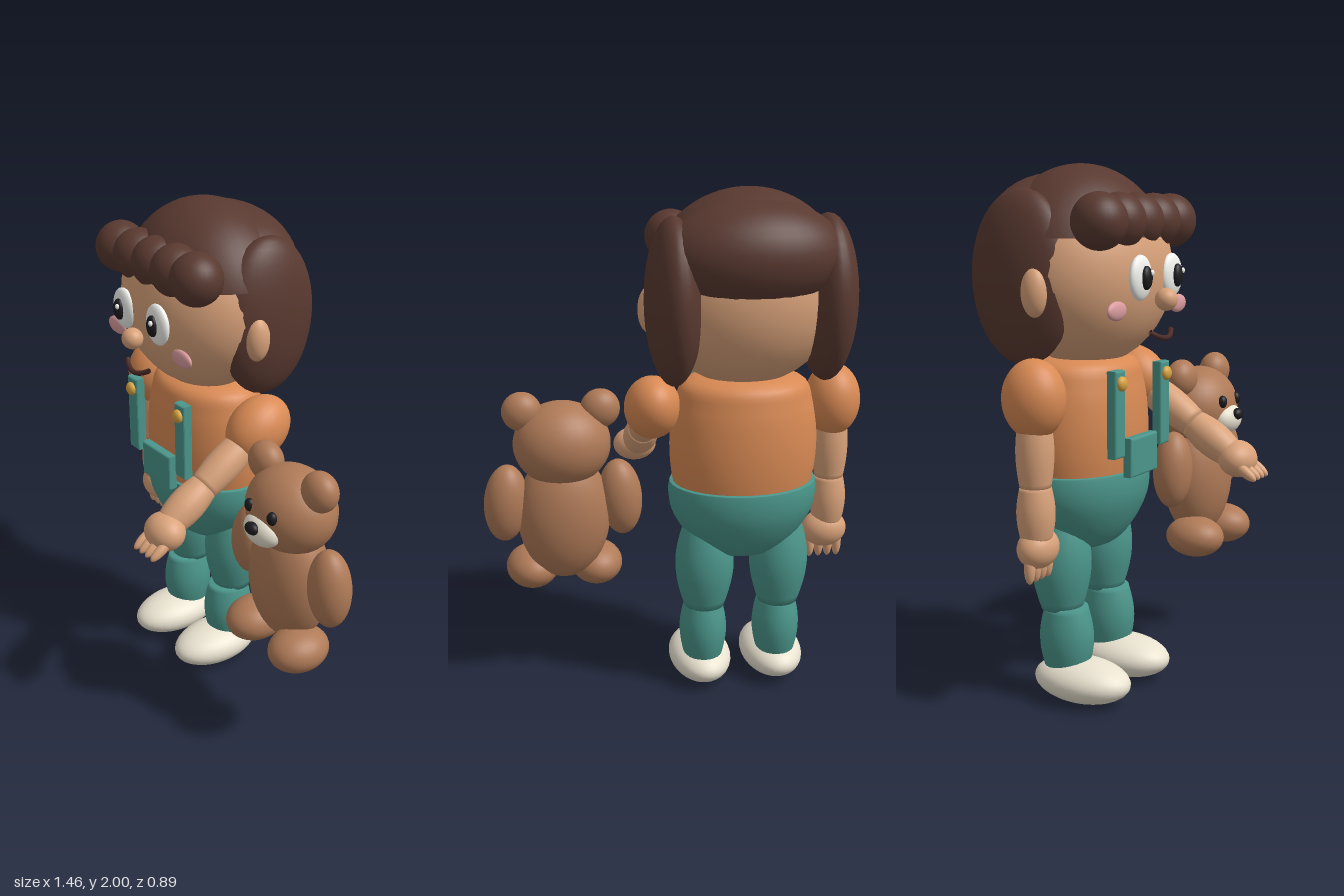
import * as THREE from 'three';

const mat = (color) => new THREE.MeshStandardMaterial({ color, side: THREE.DoubleSide });
const SKIN = mat(0xd9a27a), HAIR = mat(0x593930), SHIRT = mat(0xd98a54), TEAL = mat(0x4b968b),
  CREAM = mat(0xe9e2d0), FUR = mat(0xaf7a57), PINK = mat(0xdb9c9f), BLACK = mat(0x1c1c20),
  WHITE = mat(0xf2f2ee), GOLD = mat(0xd9a440), LIP = mat(0x4a2a26);

function add(parent, name, geometry, material, x = 0, y = 0, z = 0) {
  const m = new THREE.Mesh(geometry, material);
  m.name = name;
  m.position.set(x, y, z);
  parent.add(m);
  return m;
}

// ellipsoid from centre and radii
function ball(parent, name, material, [x, y, z], [rx, ry, rz]) {
  return add(parent, name, new THREE.SphereGeometry(1, 32, 20).scale(rx, ry, rz), material, x, y, z);
}

// smooth turned body from [radius, y] points listed bottom to top
function turned(parent, name, material, pts, x, z, depth = 1) {
  const curve = new THREE.SplineCurve(pts.map((p) => new THREE.Vector2(p[0], p[1])));
  const profile = curve.getPoints(24).map((p) => p.setX(Math.max(p.x, 0)));
  return add(parent, name, new THREE.LatheGeometry(profile, 36).scale(1, 1, depth), material, x, 0, z);
}

// barrel-shaped limb segment with closed ends
function limb(parent, name, material, y0, y1, rEnd, rMid, x, z, depth = 1) {
  const pts = [new THREE.Vector2(0, y0)];
  for (let i = 0; i <= 12; i++) {
    const t = i / 12;
    pts.push(new THREE.Vector2(rEnd + (rMid - rEnd) * Math.sin(Math.PI * t), y0 + (y1 - y0) * t));
  }
  pts.push(new THREE.Vector2(0, y1));
  return add(parent, name, new THREE.LatheGeometry(pts, 28).scale(1, 1, depth), material, x, 0, z);
}

function slab(parent, name, material, w, h, d, x, y, z) {
  const b = 0.008;
  const s = new THREE.Shape();
  s.moveTo(-w / 2 + b, -h / 2 + b);
  s.lineTo(w / 2 - b, -h / 2 + b);
  s.lineTo(w / 2 - b, h / 2 - b);
  s.lineTo(-w / 2 + b, h / 2 - b);
  const g = new THREE.ExtrudeGeometry(s, { depth: d - 2 * b, bevelSize: b, bevelThickness: b, bevelSegments: 3 });
  return add(parent, name, g.center(), material, x, y, z);
}

function buildHead() {
  const g = new THREE.Group();
  g.name = 'head';
  ball(g, 'face', SKIN, [0, 1.61, -0.115], [0.365, 0.345, 0.295]);
  // hair dome, back hair and fringe
  add(g, 'hairDome', new THREE.SphereGeometry(1, 36, 16, 0, Math.PI * 2, 0, Math.PI * 0.4)
    .scale(0.38, 0.38, 0.315), HAIR, 0, 1.62, -0.14);
  ball(g, 'backHair', HAIR, [0, 1.77, -0.24], [0.335, 0.2, 0.215]);
  for (let i = -2; i <= 2; i++) ball(g, 'fringeCurl', HAIR, [i * 0.124, 1.795, 0.09], [0.1, 0.1, 0.1]);
  for (const s of [-1, 1]) {
    ball(g, 'sideHair', HAIR, [s * 0.285, 1.6, -0.205], [0.105, 0.31, 0.21]);
    ball(g, 'ear', SKIN, [s * 0.358, 1.555, -0.105], [0.045, 0.088, 0.05]);
    ball(g, 'eye', WHITE, [s * 0.113, 1.6, 0.172], [0.068, 0.08, 0.026]);
    ball(g, 'pupil', BLACK, [s * 0.113, 1.6, 0.197], [0.028, 0.042, 0.019]);
    ball(g, 'eyeGlint', WHITE, [s * 0.113 + 0.012, 1.617, 0.212], [0.009, 0.011, 0.008]);
    ball(g, 'cheek', PINK, [s * 0.22, 1.49, 0.14], [0.06, 0.034, 0.016]);
  }
  ball(g, 'nose', SKIN, [0, 1.52, 0.213], [0.043, 0.041, 0.041]);
  const smile = new THREE.QuadraticBezierCurve3(
    new THREE.Vector3(-0.075, 1.407, 0.19), new THREE.Vector3(0, 1.357, 0.235), new THREE.Vector3(0.075, 1.407, 0.19));
  add(g, 'mouth', new THREE.TubeGeometry(smile, 20, 0.01, 8), LIP);
  return g;
}

function buildArm(side) {
  // pivot is the shoulder, arm hangs along -y
  const g = new THREE.Group();
  g.name = side > 0 ? 'leftArm' : 'rightArm';
  g.position.set(side * 0.352, 1.183, -0.12);
  ball(g, 'sleeve', SHIRT, [0, 0, 0], [0.107, 0.143, 0.118]);
  limb(g, 'upperArm', SKIN, -0.32, -0.06, 0.056, 0.069, 0, 0);
  limb(g, 'forearm', SKIN, -0.51, -0.31, 0.056, 0.07, 0, 0);
  ball(g, 'hand', SKIN, [0.01, -0.54, 0], [0.09, 0.075, 0.07]);
  for (let i = 0; i < 4; i++) {
    ball(g, 'finger', SKIN, [0.01 + (i - 1.5) * 0.037, -0.605, 0], [0.019, 0.058, 0.021]);
  }
  return g;
}

function buildChild() {
  const g = new THREE.Group();
  g.name = 'child';
  g.position.x = -0.27;
  g.add(buildHead());
  // shirt and trousers
  turned(g, 'shirt', SHIRT, [[0.265, 0.84], [0.283, 0.95], [0.285, 1.07], [0.265, 1.2], [0.215, 1.29], [0, 1.32]], 0, -0.13, 0.75);
  turned(g, 'trousers', TEAL, [[0, 0.56], [0.13, 0.59], [0.215, 0.66], [0.28, 0.77], [0.288, 0.87], [0.25, 0.885], [0, 0.885]], 0, -0.13, 0.76);
  slab(g, 'bibPocket', TEAL, 0.19, 0.145, 0.04, 0, 0.947, 0.105);
  for (const s of [-1, 1]) {
    slab(g, 'strap', TEAL, 0.065, 0.315, 0.042, s * 0.163, 1.118, 0.1);
    ball(g, 'button', GOLD, [s * 0.163, 1.23, 0.125], [0.027, 0.027, 0.018]);
    limb(g, 'thigh', TEAL, 0.36, 0.72, 0.08, 0.116, s * 0.15, -0.15, 0.97);
    limb(g, 'shin', TEAL, 0.12, 0.37, 0.074, 0.094, s * 0.15, -0.13, 1.13);
    ball(g, 'shoe', CREAM, [s * 0.15, 0.088, -0.062], [0.125, 0.083, 0.2]);
    g.add(buildArm(s));
  }
  // left arm reaches forward
  g.getObjectByName('leftArm').rotation.x = -0.99;
  return g;
}

function buildBear() {
  const g = new THREE.Group();
  g.name = 'teddyBear';
  g.position.set(0.42, 0, -0.01);
  ball(g, 'bearBody', FUR, [0, 0.725, 0], [0.183, 0.265, 0.135]);
  ball(g, 'bearHead', FUR, [0, 1.02, 0], [0.19, 0.168, 0.16]);
  ball(g, 'bearMuzzle', CREAM, [0, 0.977, 0.135], [0.088, 0.062, 0.055]);
  ball(g, 'bearNose', BLACK, [0, 1.0, 0.185], [0.032, 0.024, 0.022]);
  for (const s of [-1, 1]) {
    ball(g, 'bearEar', FUR, [s * 0.151, 1.155, 0], [0.077, 0.077, 0.062]);
    ball(g, 'bearEye', BLACK, [s * 0.064, 1.055, 0.145], [0.021, 0.026, 0.019]);
    ball(g, 'bearArm', FUR, [s * 0.225, 0.785, 0], [0.086, 0.157, 0.08]).rotation.z = s * 0.08;
    ball(g, 'bearFoot', FUR, [s * 0.129, 0.487, 0.055], [0.105, 0.084, 0.125]);
  }
  return g;
}

export function createModel() {
  const model = new THREE.Group();
  model.name = 'childWithTeddyBear';
  model.add(buildChild(), buildBear());
  return model;
}
